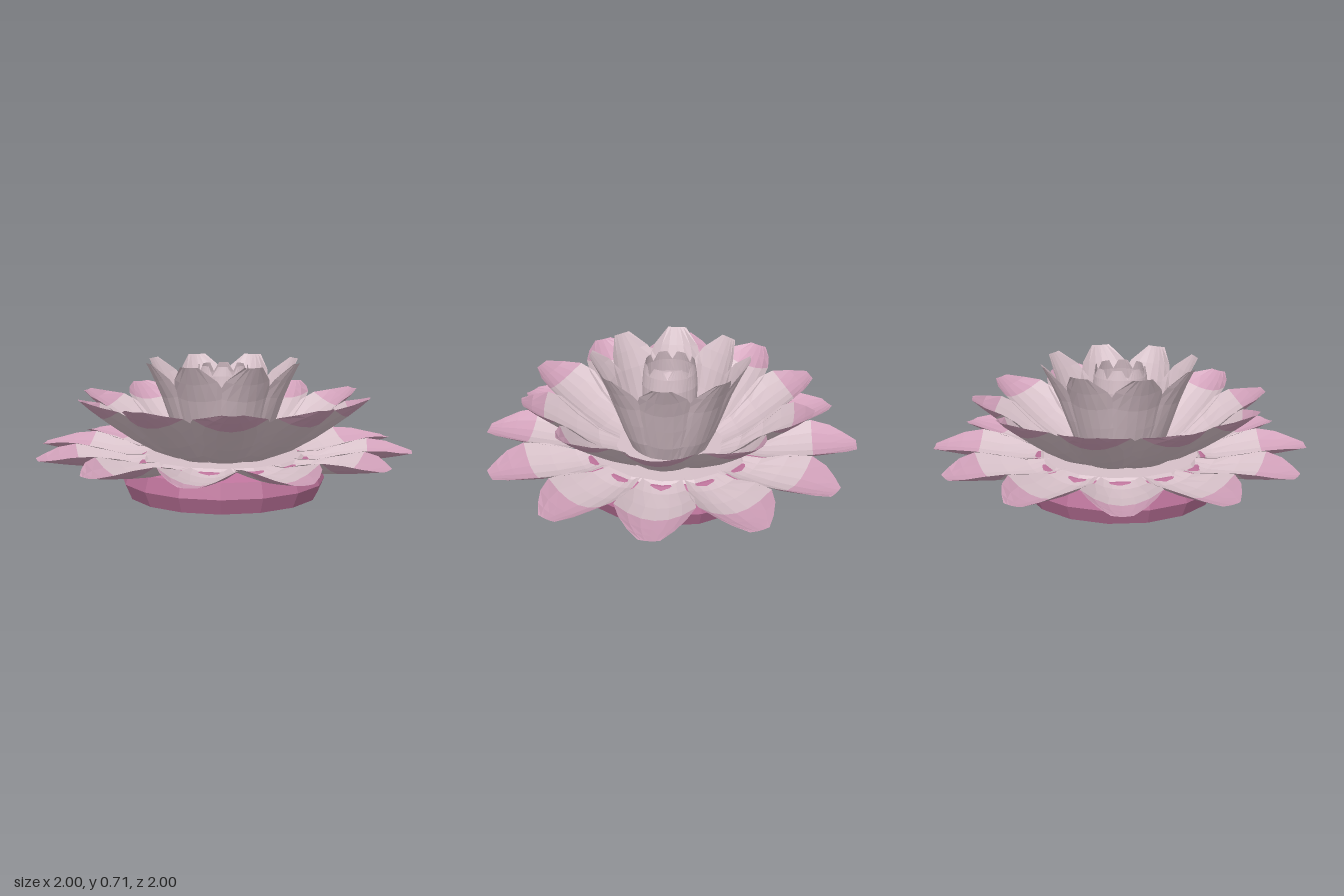
import * as THREE from 'three';

const mat = (name, color) => {
  const m = new THREE.MeshStandardMaterial({ color, flatShading: true, side: THREE.DoubleSide });
  m.name = name;
  return m;
};

// Surface between cross-sections: rows of points joined into quads
function sheet(rows) {
  const pos = rows.flat().flatMap(p => [p.x, p.y, p.z]);
  const n = rows[0].length, idx = [];
  for (let i = 0; i < rows.length - 1; i++) {
    for (let j = 0; j < n - 1; j++) {
      const a = i * n + j, b = a + n;
      idx.push(a, a + 1, b, a + 1, b + 1, b);
    }
  }
  const g = new THREE.BufferGeometry();
  g.setAttribute('position', new THREE.Float32BufferAttribute(pos, 3));
  g.setIndex(idx);
  g.computeVertexNormals();
  return g;
}

// Petal cross-sections along +x; stations are [radius, height, halfWidth, cup]
function petalRows(stations) {
  const cols = 6;
  return stations.map(([r, y, w, cup], i) => {
    const a = stations[Math.max(0, i - 1)], b = stations[Math.min(stations.length - 1, i + 1)];
    const len = Math.hypot(b[0] - a[0], b[1] - a[1]);
    const nx = -(b[1] - a[1]) / len, ny = (b[0] - a[0]) / len;
    const row = [];
    for (let j = 0; j <= cols; j++) {
      const u = j / cols * 2 - 1, lift = cup * u * u;
      row.push(new THREE.Vector3(r + nx * lift, y + ny * lift, u * w));
    }
    return row;
  });
}

// Ring of equal petals; stations from index tipFrom on take the tip colour
function petalRing(name, count, stations, tipFrom, petalMat, tipMat, phase = 0) {
  const ring = new THREE.Group();
  ring.name = name + 'Ring';
  const rows = petalRows(stations);
  const body = sheet(rows.slice(0, tipFrom + 1));
  const tip = tipFrom < rows.length - 1 ? sheet(rows.slice(tipFrom)) : null;
  for (let i = 0; i < count; i++) {
    const petal = new THREE.Group();
    petal.name = name;
    const blade = new THREE.Mesh(body, petalMat);
    blade.name = name + 'Blade';
    petal.add(blade);
    if (tip) {
      const end = new THREE.Mesh(tip, tipMat);
      end.name = name + 'Tip';
      petal.add(end);
    }
    petal.rotation.y = phase + i / count * Math.PI * 2;
    ring.add(petal);
  }
  return ring;
}

export function createModel() {
  const model = new THREE.Group();
  model.name = 'waterLily';
  const pale = mat('pale petal', 0xd6c0c8);
  const pink = mat('pink petal tip', 0xd0a0b9);
  const rose = mat('rose base', 0xbb7299);

  const lathe = (name, pts, sides, material) => {
    const m = new THREE.Mesh(
      new THREE.LatheGeometry(pts.map(p => new THREE.Vector2(...p)), sides), material);
    m.name = name;
    model.add(m);
  };

  // Rounded base and the pale floor the petals grow from
  lathe('base', [[0, 0], [0.51, 0], [0.545, 0.08], [0.52, 0.16], [0.45, 0.195], [0, 0.2]], 16, rose);
  lathe('petalFloor', [[0.44, 0.19], [0.42, 0.21], [0, 0.215]], 16, pale);

  // Low, spreading outer petals
  model.add(petalRing('outerPetal', 12, [
    [0.36, 0.2, 0.09, 0.01], [0.5, 0.18, 0.13, 0.035], [0.64, 0.185, 0.18, 0.07],
    [0.77, 0.2, 0.197, 0.08], [0.87, 0.215, 0.16, 0.06], [0.94, 0.228, 0.11, 0.03],
    [1.0, 0.24, 0.052, 0.005],
  ], 3, pale, pink));

  // Raised middle petals
  model.add(petalRing('middlePetal', 10, [
    [0.26, 0.2, 0.08, 0.01], [0.38, 0.245, 0.13, 0.03], [0.5, 0.315, 0.175, 0.06],
    [0.6, 0.385, 0.197, 0.08], [0.67, 0.437, 0.18, 0.07], [0.73, 0.485, 0.125, 0.035],
    [0.78, 0.53, 0.05, 0.005],
  ], 4, pale, pink));

  // Upright inner petals
  model.add(petalRing('innerPetal', 8, [
    [0.2, 0.2, 0.08, 0.01], [0.25, 0.3, 0.11, 0.03], [0.295, 0.42, 0.14, 0.05],
    [0.335, 0.53, 0.15, 0.06], [0.375, 0.62, 0.12, 0.04], [0.42, 0.71, 0.05, 0.005],
  ], 5, pale, pink));

  // Closed bud of small petals around a faceted heart
  model.add(petalRing('budPetal', 8, [
    [0.1, 0.2, 0.045, 0.005], [0.125, 0.32, 0.055, 0.015], [0.145, 0.46, 0.065, 0.02],
    [0.148, 0.57, 0.066, 0.02], [0.14, 0.64, 0.055, 0.012], [0.13, 0.69, 0.025, 0.002],
  ], 5, pale, pink, Math.PI / 8));
  lathe('budHeart', [[0.09, 0.2], [0.115, 0.5], [0.1, 0.57], [0.06, 0.61], [0, 0.63]], 10, pale);

  return model;
}
